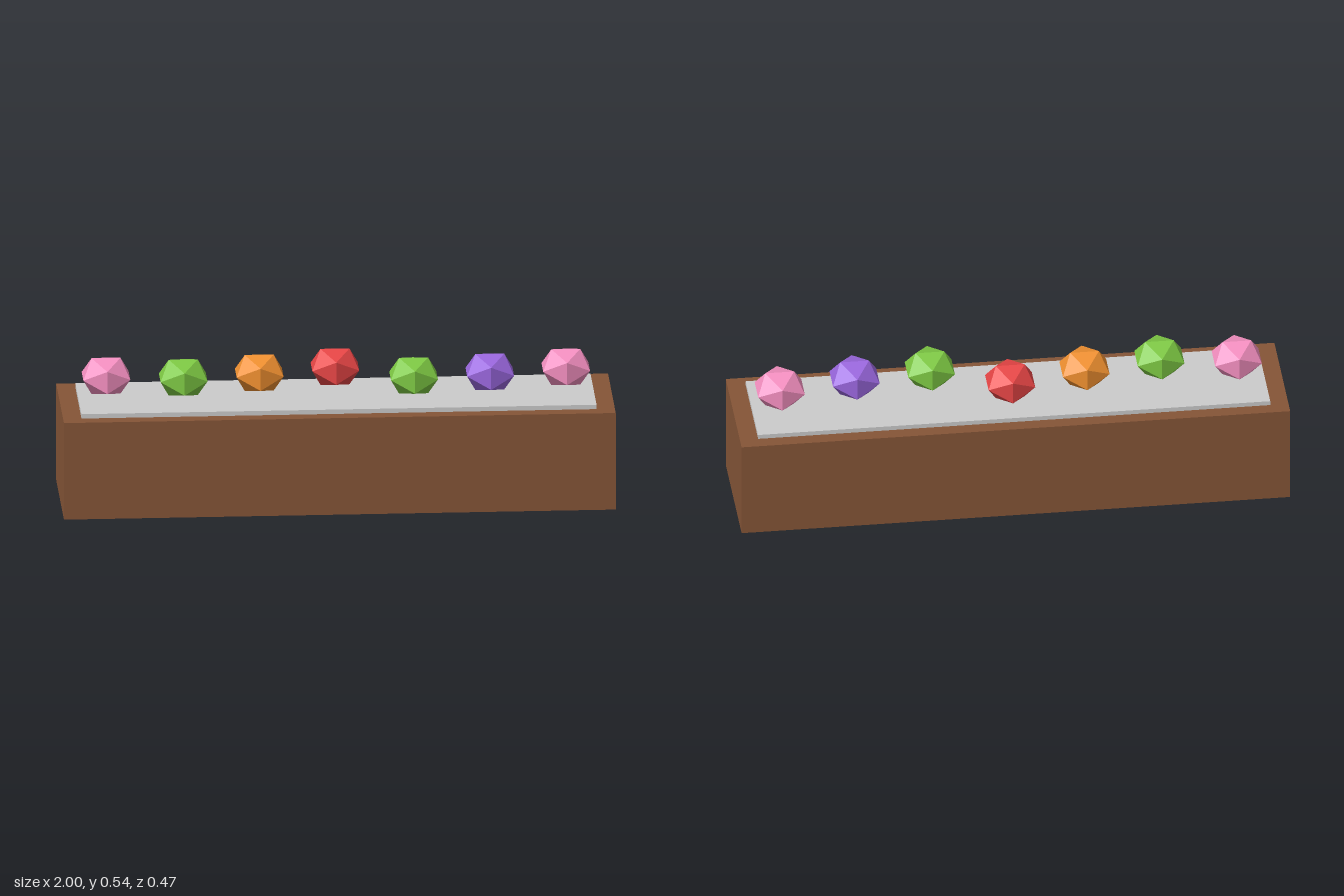
import * as THREE from 'three';

export function createModel() {
  const model = new THREE.Group();

  const add = (name, geometry, color, x, y, z) => {
    const material = new THREE.MeshStandardMaterial({ color, flatShading: true });
    const mesh = new THREE.Mesh(geometry, material);
    mesh.name = name;
    mesh.position.set(x, y, z);
    model.add(mesh);
  };

  // Solid wooden base with a thin plate set into its top
  add('base', new THREE.BoxGeometry(2, 0.367, 0.467), 0x855537, 0, 0.1835, 0);
  add('topPlate', new THREE.BoxGeometry(1.867, 0.033, 0.367), 0xcccccc, 0, 0.367, 0);

  // Row of slightly flattened gems hovering over the plate: [color, z]
  const pink = 0xf48fc0, green = 0x7dc843, orange = 0xf09030, red = 0xe64545, purple = 0x9966dd;
  const gems = [
    [pink, -0.004], [green, 0.031], [orange, -0.008], [red, -0.064],
    [green, 0.058], [purple, 0.03], [pink, -0.01],
  ];
  const gemGeometry = new THREE.IcosahedronGeometry(0.1, 0).scale(1, 0.8, 1);
  gems.forEach(([color, z], i) => {
    add(`gem${i + 1}`, gemGeometry, color, (i - 3) * 0.2778, 0.467, z);
  });

  return model;
}
